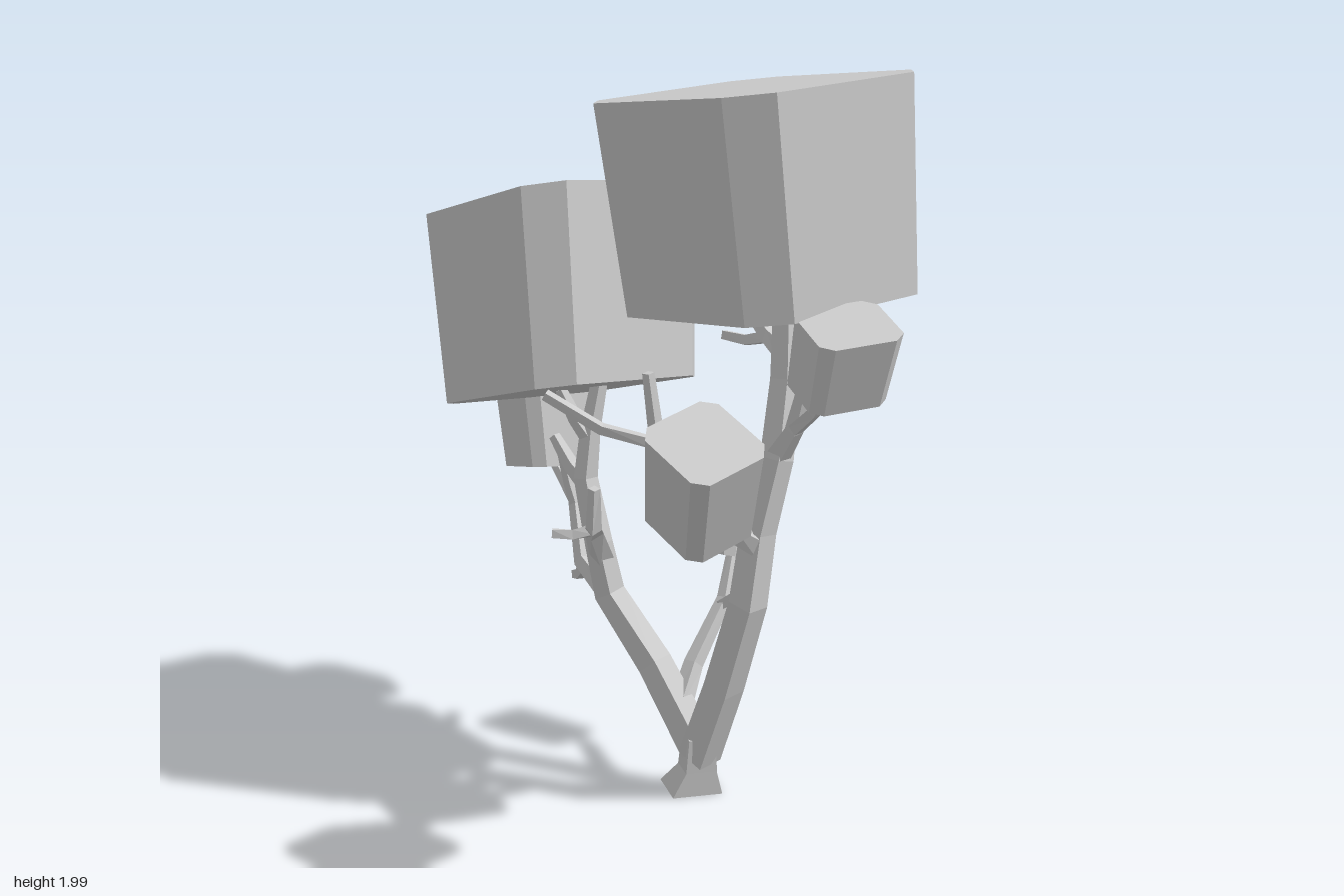
import * as THREE from 'three';

const V = (x, y, z) => new THREE.Vector3(x, y, z);
const material = new THREE.MeshStandardMaterial({ color: 0xcccccc, flatShading: true });

// Closed solid through equal-sized rings, each counter-clockwise about the path
function loft(name, rings) {
  const n = rings[0].length, pos = [];
  const tri = (...corners) => { for (const p of corners) pos.push(p.x, p.y, p.z); };
  for (let i = 0; i < rings.length - 1; i++) {
    for (let j = 0; j < n; j++) {
      const k = (j + 1) % n, lo = rings[i], hi = rings[i + 1];
      tri(lo[j], lo[k], hi[k]);
      tri(lo[j], hi[k], hi[j]);
    }
  }
  const first = rings[0], last = rings[rings.length - 1];
  for (let j = 1; j < n - 1; j++) {
    tri(first[0], first[j + 1], first[j]);
    tri(last[0], last[j], last[j + 1]);
  }
  const geometry = new THREE.BufferGeometry();
  geometry.setAttribute('position', new THREE.Float32BufferAttribute(pos, 3));
  geometry.computeVertexNormals();
  const mesh = new THREE.Mesh(geometry, material);
  mesh.name = name;
  return mesh;
}

// Four-sided limb along a path, its radius tapering evenly from r0 to r1
function limb(group, name, path, r0, r1) {
  const end = path.length - 1;
  const rings = path.map((p, i) => {
    const t = path[Math.min(i + 1, end)].clone().sub(path[Math.max(i - 1, 0)]).normalize();
    const a = V(0, 0, 1).cross(t).normalize(), b = t.clone().cross(a);
    const r = THREE.MathUtils.lerp(r0, r1, i / end);
    return [0, 1, 2, 3].map(j => {
      const angle = (j + 0.6) * Math.PI / 2;
      return p.clone().addScaledVector(a, r * Math.cos(angle)).addScaledVector(b, r * Math.sin(angle));
    });
  });
  group.add(loft(name, rings));
  return { path, r0, r1 };
}

// Limb that leaves its parent at step s of the parent's path and thins to a tip
function branch(group, name, parent, s, ...points) {
  const end = parent.path.length - 1, i = Math.min(Math.floor(s), end - 1);
  const start = parent.path[i].clone().lerp(parent.path[i + 1], s - i);
  const radius = THREE.MathUtils.lerp(parent.r0, parent.r1, s / end);
  return limb(group, name, [start, ...points], Math.min(0.034, 0.85 * radius), 0.016);
}

// Short side shoot that leaves outward and curves up to its tip
function twig(group, parent, s, tip) {
  const end = parent.path.length - 1, i = Math.min(Math.floor(s), end - 1);
  const start = parent.path[i].clone().lerp(parent.path[i + 1], s - i);
  const middle = start.clone().lerp(tip, 0.5);
  middle.y -= 0.08 * start.distanceTo(tip);
  branch(group, 'twig', parent, s, middle, tip);
}

// Leaf block: centre plus half-axes, upright edges chamfered, wider at the top
function leafBlock(name, centre, x, y, z) {
  const taper = 0.04, k = 0.72;
  const outline = [[k, 1], [1, k], [1, -k], [k, -1], [-k, -1], [-1, -k], [-1, k], [-k, 1]];
  const rings = [-1, 1].map(h => outline.map(([u, v]) => centre.clone()
    .addScaledVector(x, u * (1 + h * taper))
    .addScaledVector(z, v * (1 + h * taper))
    .addScaledVector(y, h)));
  return loft(name, rings);
}

export function createModel() {
  const tree = new THREE.Group();
  tree.name = 'tree';
  const wood = new THREE.Group();
  wood.name = 'branches';
  const foliage = new THREE.Group();
  foliage.name = 'foliage';
  tree.add(wood, foliage);

  // Flared square foot
  const footRing = (x, y, z, r) => [0, 1, 2, 3].map(j => {
    const a = 0.36 + j * Math.PI / 2;
    return V(x + r * Math.sin(a), y, z + r * Math.cos(a));
  });
  wood.add(loft('trunkFoot', [footRing(0.052, 0, -0.11, 0.1),
    footRing(0.085, 0.07, -0.105, 0.062), footRing(0.098, 0.17, -0.1, 0.055)]));

  // Two main stems
  const rightStem = limb(wood, 'rightStem', [V(0.1, 0.11, -0.1), V(0.2, 0.34, -0.1), V(0.295, 0.6, -0.1),
    V(0.31, 0.8, -0.12), V(0.345, 1, -0.15), V(0.32, 1.2, -0.2), V(0.29, 1.43, -0.23)], 0.06, 0.037);
  const leftStem = limb(wood, 'leftStem', [V(0.1, 0.13, -0.1), V(-0.05, 0.35, -0.06), V(-0.19, 0.53, -0.01),
    V(-0.2, 0.68, 0.02), V(-0.245, 0.86, 0.03), V(-0.235, 1, 0.02), V(-0.22, 1.13, 0)], 0.055, 0.023);

  // Growth on the left stem
  const leftBranch = branch(wood, 'leftBranch', leftStem, 1.9,
    V(-0.38, 0.57, -0.06), V(-0.47, 0.73, -0.1), V(-0.64, 0.82, -0.14));
  twig(wood, leftBranch, 0.9, V(-0.5, 0.49, -0.12));
  twig(wood, leftBranch, 1.9, V(-0.49, 0.87, -0.07));
  const frontBranch = branch(wood, 'frontBranch', leftStem, 2.7,
    V(-0.13, 0.74, 0.09), V(-0.01, 0.79, 0.18), V(0.02, 0.91, 0.2));
  twig(wood, frontBranch, 1.6, V(-0.13, 0.76, 0.23));
  const rearBranch = branch(wood, 'rearBranch', leftStem, 0.45,
    V(0, 0.34, -0.16), V(-0.02, 0.5, -0.29), V(-0.07, 0.65, -0.37));
  twig(wood, rearBranch, 1.9, V(0.12, 0.62, -0.32));
  twig(wood, leftStem, 3.9, V(-0.35, 0.965, 0.06));
  twig(wood, leftStem, 4.8, V(-0.29, 1.11, 0.08));

  // Growth on the right stem
  const rightFrontBranch = branch(wood, 'rightFrontBranch', rightStem, 2.8,
    V(0.36, 0.85, 0.04), V(0.46, 0.92, 0.22), V(0.58, 1, 0.31));
  twig(wood, rightFrontBranch, 1.8, V(0.465, 1.01, 0.22));
  const innerBranch = branch(wood, 'innerBranch', rightStem, 2.9,
    V(0.24, 0.92, 0.02), V(0.185, 1.05, 0.12), V(0.185, 1.24, 0.15));
  twig(wood, innerBranch, 2, V(-0.03, 1.17, 0.32));
  const rightUpperBranch = branch(wood, 'rightUpperBranch', rightStem, 4,
    V(0.42, 1.09, -0.14), V(0.485, 1.27, -0.13));
  twig(wood, rightUpperBranch, 1, V(0.62, 1.27, -0.09));
  const crownBranch = branch(wood, 'crownBranch', rightStem, 5.3,
    V(0.2, 1.29, -0.25), V(-0.03, 1.38, -0.33));
  twig(wood, crownBranch, 1, V(0.06, 1.28, -0.21));
  twig(wood, crownBranch, 1.3, V(0.14, 1.37, -0.4));

  // Leaf blocks
  foliage.add(
    leafBlock('upperCrown', V(0.255, 1.675, -0.165),
      V(0.333, 0.026, 0), V(-0.025, 0.275, 0.015), V(0, -0.022, 0.304)),
    leafBlock('leftCrown', V(-0.362, 1.357, 0.008),
      V(0.3, 0.077, -0.004), V(-0.057, 0.257, -0.027), V(0, 0.018, 0.283)),
    leafBlock('leftLeafBlock', V(-0.66, 0.905, -0.14),
      V(0.115, 0.022, 0.012), V(-0.026, 0.11, -0.008), V(-0.012, 0.01, 0.112)),
    leafBlock('rightUpperLeafBlock', V(0.655, 1.32, -0.078),
      V(0.095, -0.03, 0.035), V(0.03, 0.088, 0.01), V(-0.035, -0.01, 0.1)),
    leafBlock('rightFrontLeafBlock', V(0.615, 1.067, 0.333),
      V(0.11, -0.045, 0), V(0.05, 0.112, 0.033), V(0, -0.027, 0.107)),
    leafBlock('rearLeafBlock', V(-0.085, 0.708, -0.345),
      V(0.085, -0.004, -0.02), V(-0.013, 0.08, -0.015), V(0.02, 0.014, 0.083)));
  return tree;
}
